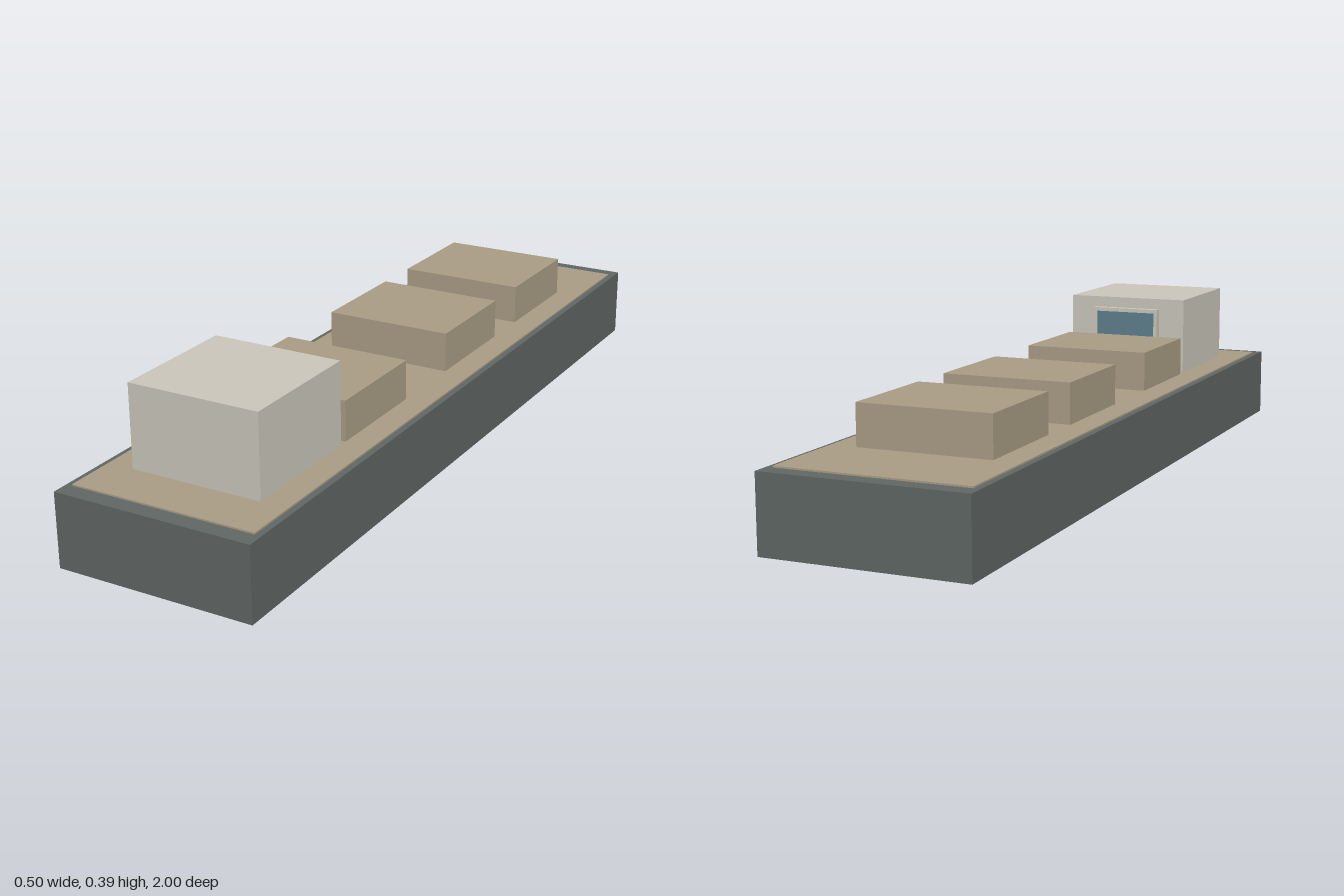
import * as THREE from 'three';

const material = (color) => new THREE.MeshStandardMaterial({ color });

// Box given by its width, its y range and its z range, centred on x = 0
function block(name, width, [y0, y1], [z0, z1], mat) {
  const mesh = new THREE.Mesh(new THREE.BoxGeometry(width, y1 - y0, z1 - z0), mat);
  mesh.name = name;
  mesh.position.set(0, (y0 + y1) / 2, (z0 + z1) / 2);
  return mesh;
}

export function createModel() {
  const group = new THREE.Group();
  group.name = 'barge';
  const hullPaint = material(0x606765);
  const deckPaint = material(0xab9e86);
  const cabinPaint = material(0xccc8bd);
  const glass = material(0x5f7f8e);

  // Hull with a thin deck plate on top
  const deckY = 0.188;
  group.add(block('hull', 0.5, [0, 0.184], [-1, 1], hullPaint));
  group.add(block('deck', 0.468, [0.18, deckY], [-0.958, 0.958], deckPaint));

  // Cargo hatches along the deck
  for (const z of [0.335, -0.165, -0.583]) {
    group.add(block('cargoHatch', 0.334, [deckY - 0.004, 0.289], [z - 0.145, z + 0.145], deckPaint));
  }

  // Cabin near the front
  group.add(block('cabin', 0.334, [deckY - 0.004, 0.393], [0.5, 0.833], cabinPaint));

  // Window on the rear wall of the cabin: frame with a recessed pane
  const w = 0.095, y0 = 0.245, y1 = 0.364, rim = 0.01;
  const outline = new THREE.Shape([[-w, y0], [w, y0], [w, y1], [-w, y1]]
    .map(([x, y]) => new THREE.Vector2(x, y)));
  const v = w - rim;
  outline.holes.push(new THREE.Path([[-v, y0 + rim], [-v, y1 - rim], [v, y1 - rim], [v, y0 + rim]]
    .map(([x, y]) => new THREE.Vector2(x, y))));
  const frame = new THREE.Mesh(
    new THREE.ExtrudeGeometry(outline, { depth: 0.02, bevelEnabled: false }), cabinPaint);
  frame.name = 'windowFrame';
  frame.position.z = 0.481;
  group.add(frame);
  group.add(block('windowPane', 2 * v, [y0 + rim, y1 - rim], [0.485, 0.501], glass));

  return group;
}
